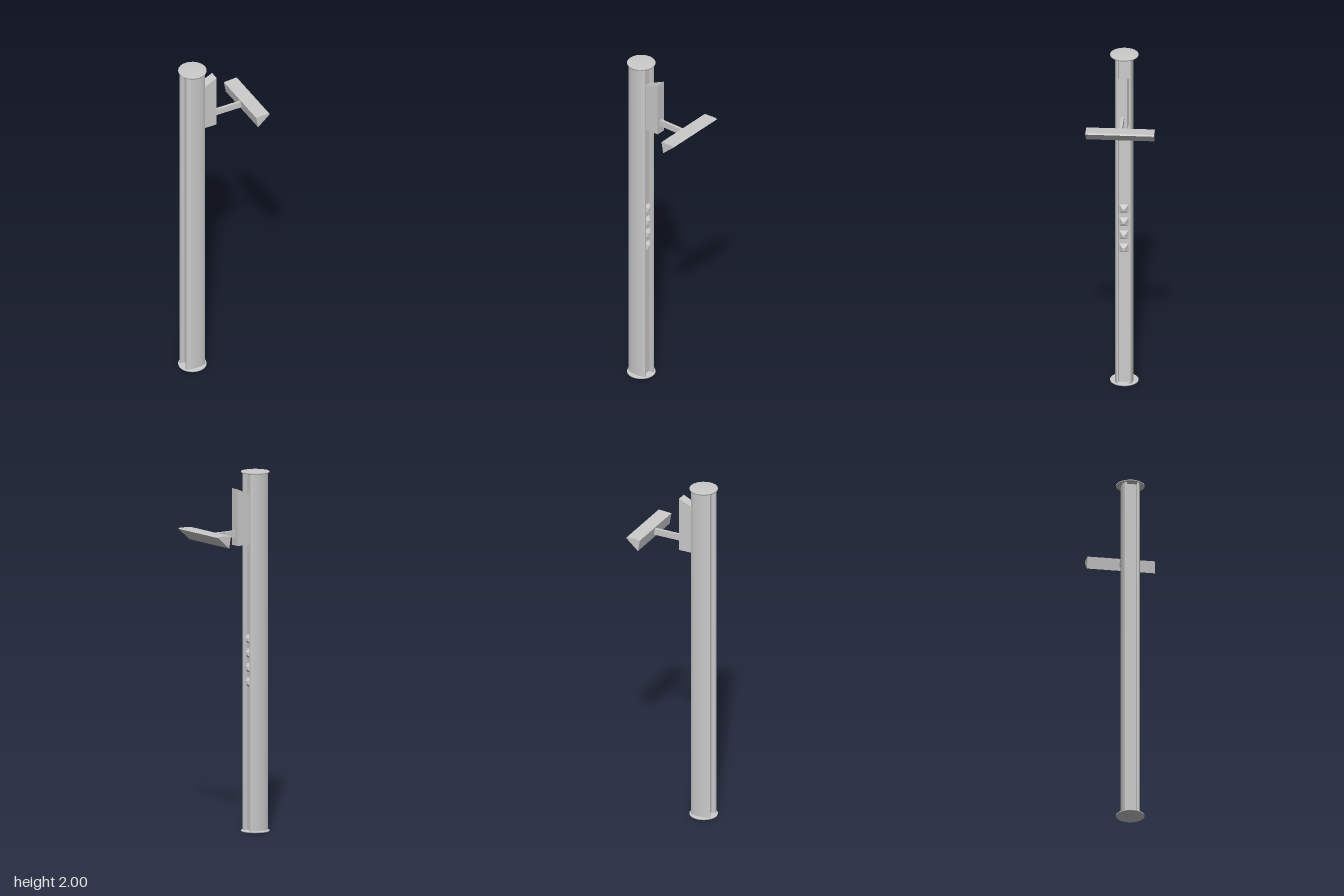
import * as THREE from 'three';

const POLE_X = -0.152;

export function createModel() {
  const group = new THREE.Group();
  const smooth = new THREE.MeshStandardMaterial({ color: 0xcccccc });
  const flat = new THREE.MeshStandardMaterial({ color: 0xcccccc, flatShading: true });

  function add(name, geometry, x, y, z, material = flat) {
    const mesh = new THREE.Mesh(geometry, material);
    mesh.name = name;
    mesh.position.set(x, y, z);
    group.add(mesh);
    return mesh;
  }

  function extrude(shape, depth) {
    return new THREE.ExtrudeGeometry(shape, { depth, bevelEnabled: false, curveSegments: 12 });
  }

  // Two bowed pole shells with an open groove on either side
  const shell = new THREE.Shape();
  shell.moveTo(-0.058, 0.028);
  shell.lineTo(0.058, 0.028);
  shell.lineTo(0.058, 0.038);
  shell.quadraticCurveTo(0.04, 0.05, 0, 0.051);
  shell.quadraticCurveTo(-0.04, 0.05, -0.058, 0.038);
  shell.closePath();
  const shellGeometry = extrude(shell, 1.988).rotateX(-Math.PI / 2);
  add('backShell', shellGeometry, POLE_X, 0.006, 0);
  add('frontShell', shellGeometry, POLE_X, 0.006, 0).rotation.y = Math.PI;

  // Core recessed between the shells
  add('core', new THREE.BoxGeometry(0.07, 1.988, 0.058), POLE_X, 1, 0);

  // Thin round end caps, softly shaded across the rim
  const capProfile = [[0, 0], [0.078, 0.001], [0.078, 0.007], [0, 0.008]]
    .map(([r, y]) => new THREE.Vector2(r, y));
  const capGeometry = new THREE.LatheGeometry(capProfile, 24);
  add('bottomCap', capGeometry, POLE_X, 0, 0, smooth);
  add('topCap', capGeometry, POLE_X, 1.992, 0, smooth);

  // Bracket with a sloping top, seated in the groove
  const bracket = new THREE.Shape([
    [-0.12, 1.6], [-0.015, 1.6], [-0.015, 1.915], [-0.12, 1.865],
  ].map(([x, y]) => new THREE.Vector2(x, y)));
  add('bracket', extrude(bracket, 0.054), 0, 0, -0.027);

  // Arm
  add('arm', new THREE.BoxGeometry(0.18, 0.036, 0.016), 0.07, 1.665, 0);

  // Wedge-shaped head
  const head = new THREE.Shape([
    [0.144, 1.692], [0.156, 1.625], [0.229, 1.69], [0.222, 1.697],
  ].map(([x, y]) => new THREE.Vector2(x, y)));
  add('head', extrude(head, 0.376), 0, 0, -0.188);

  // Column of four tapered buttons in the groove
  const buttonGeometry = new THREE.CylinderGeometry(0.012, 0.035, 0.022, 4)
    .rotateY(Math.PI / 4).rotateZ(-Math.PI / 2);
  for (let i = 0; i < 4; i++) {
    add('button', buttonGeometry, POLE_X + 0.046, 0.83 + i * 0.08, 0);
  }

  return group;
}
